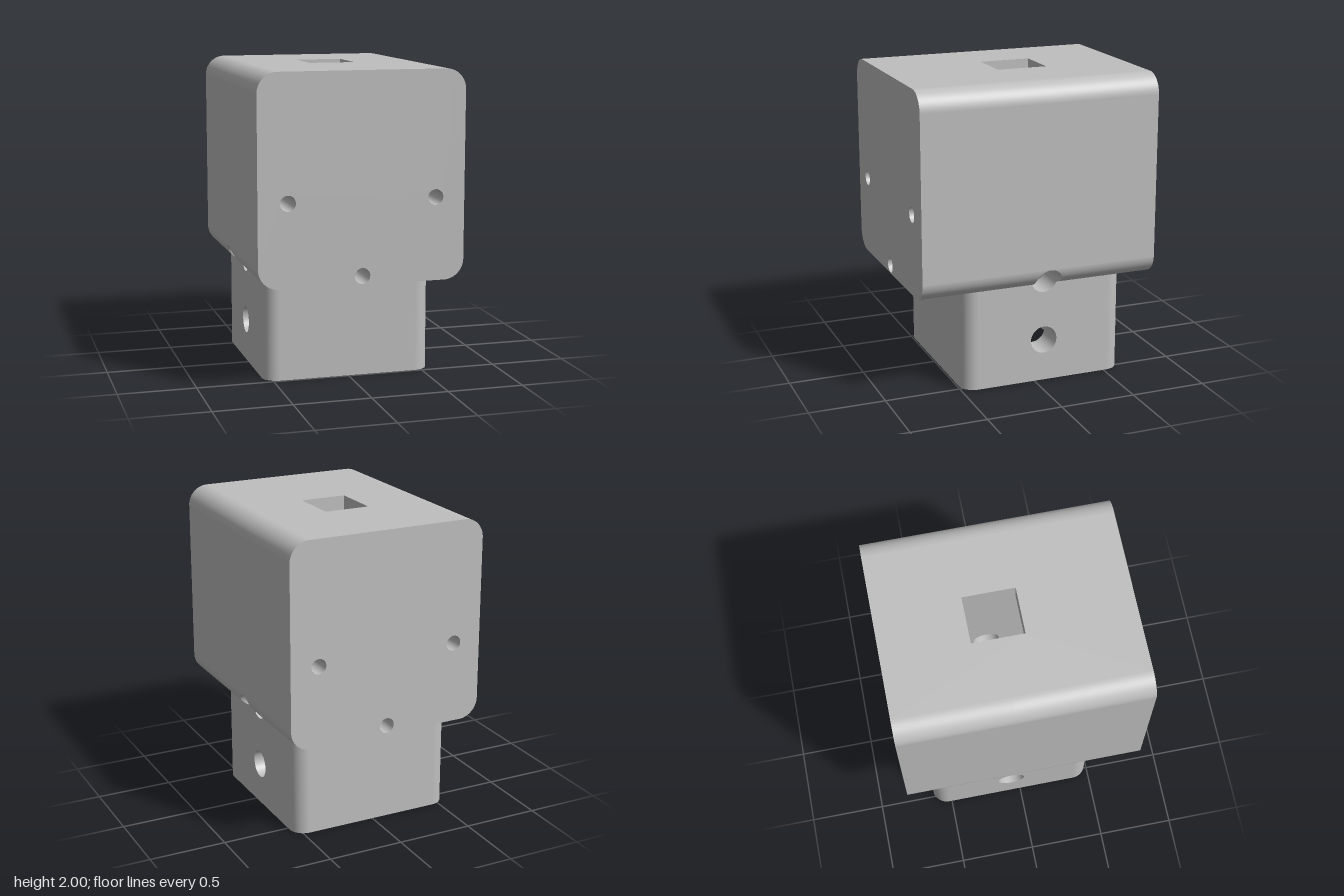
import * as THREE from 'three';

const grey = new THREE.MeshStandardMaterial({ color: 0xbfbfbf, side: THREE.DoubleSide });
grey.name = 'grey';

const ZC = -0.065;                                   // stem and cavity centre in z
const BX = 0.665, BZ = 0.795, B0 = 0.67, B1 = 2, BR = 0.13;  // block
const SX = 0.555, SR = 0.1, STOP = 0.6715;           // stem
const CX = 0.355, CTOP = 1.88;                       // cavity
const PIN = 0.09, PINLOW = 0.28, PINHIGH = 0.7;      // cross bores
const SCREW = 0.05;                                  // screw bores
const screws = [[-0.475, 1.2], [0.475, 1.2], [0, 0.725]];

// Smooth skin between two rows of points
function strip(a, b) {
  const index = [];
  for (let i = 0; i < a.length - 1; i++) {
    const n = a.length;
    index.push(i, i + 1, n + i, i + 1, n + i + 1, n + i);
  }
  const g = new THREE.BufferGeometry();
  g.setAttribute('position', new THREE.Float32BufferAttribute([...a, ...b].flat(), 3));
  g.setIndex(index);
  g.computeVertexNormals();
  return g;
}

// Flat outlines
function roundedRect(x0, y0, x1, y1, r) {
  const s = new THREE.Shape();
  s.absarc(x1 - r, y0 + r, r, -Math.PI / 2, 0);
  s.absarc(x1 - r, y1 - r, r, 0, Math.PI / 2);
  s.absarc(x0 + r, y1 - r, r, Math.PI / 2, Math.PI);
  s.absarc(x0 + r, y0 + r, r, Math.PI, Math.PI * 1.5);
  return s;
}
const rect = (x0, y0, x1, y1) => new THREE.Shape(
  [[x0, y0], [x1, y0], [x1, y1], [x0, y1]].map(p => new THREE.Vector2(...p)));
const circle = (x, y, r) => new THREE.Path().absarc(x, y, r, 0, Math.PI * 2);

// Flat sheets facing z, x and y
function sheet(shape, holes = []) {
  shape.holes.push(...holes);
  return new THREE.ShapeGeometry(shape, 20);
}
const atZ = (z, s, h) => sheet(s, h).translate(0, 0, z);
const atX = (x, s, h) => sheet(s, h).rotateY(-Math.PI / 2).translate(x, 0, 0);
const atY = (y, s, h) => sheet(s, h).rotateX(Math.PI / 2).translate(0, y, 0);

const steps = (n, f) => Array.from({ length: n + 1 }, (_, i) => f(i / n));

// Outer x of the solid at height y, following the block's lower edge
const outerX = y => y < B0 ? SX
  : Math.max(SX, BX - BR + Math.sqrt(Math.max(0, BR ** 2 - (B0 + BR - y) ** 2)));

export function createModel() {
  const model = new THREE.Group();
  const part = name => {
    const g = new THREE.Group();
    g.name = name;
    model.add(g);
    return (geo, meshName) => {
      const m = new THREE.Mesh(geo, grey);
      m.name = meshName;
      g.add(m);
    };
  };
  const block = part('block'), stem = part('stem'), cavity = part('cavity'), bores = part('bores');
  const topHole = () => rect(-0.152, -0.24, 0.152, 0.095);

  // Block end faces, top with square opening, underside around the stem
  for (const z of [-BZ, BZ]) {
    block(atZ(z, roundedRect(-BX, B0, BX, B1, BR), screws.map(([x, y]) => circle(x, y, SCREW))), 'endFace');
  }
  block(atY(B1, rect(-BX + BR, -BZ, BX - BR, BZ), [topHole()]), 'topFace');
  block(atY(B0, rect(-BX + BR, 0.355, BX - BR, BZ)), 'undersideFront');
  block(atY(B0, rect(-BX + BR, -BZ, BX - BR, -0.485)), 'undersideBack');

  // Block sides with rounded edges, notched where the upper cross bore leaves
  const lowYs = [
    ...steps(20, t => B0 + BR - BR * Math.cos(t * Math.PI / 2)),
    ...steps(20, t => PINHIGH + PIN * Math.sin(-0.3 + t * (Math.PI / 2 + 0.3))),
  ].sort((a, b) => a - b);
  const profile = [
    ...lowYs.map(y => [BX - BR + Math.sqrt(Math.max(0, BR ** 2 - (B0 + BR - y) ** 2)), y]),
    ...steps(14, t => [BX - BR + BR * Math.cos(t * Math.PI / 2), B1 - BR + BR * Math.sin(t * Math.PI / 2)]),
  ];
  const notch = y => Math.sqrt(Math.max(0, PIN ** 2 - (y - PINHIGH) ** 2));
  for (const side of [-1, 1]) {
    for (const end of [-1, 1]) {
      block(strip(
        profile.map(([x, y]) => [side * x, y, end * BZ]),
        profile.map(([x, y]) => [side * x, y, ZC + end * notch(y)])), 'side');
    }
  }

  // Stem bottom rim
  stem(atY(0, roundedRect(-SX, ZC - SX, SX, ZC + SX, SR), [rect(-CX, ZC - CX, CX, ZC + CX)]), 'bottomRim');

  // Stem front and back with rounded corners
  for (const end of [-1, 1]) {
    const quarter = steps(12, t => [SX - SR + SR * Math.cos(t * Math.PI / 2),
      ZC + end * (SX - SR + SR * Math.sin(t * Math.PI / 2))]);
    const path = [...quarter, ...quarter.map(([x, z]) => [-x, z]).reverse()];
    stem(strip(path.map(([x, z]) => [x, 0, z]), path.map(([x, z]) => [x, STOP, z])), 'endWall');
  }

  // Stem sides with a round hole and a half-round notch at the top
  const a = Math.asin((STOP - PINHIGH) / PIN), flat = SX - SR;
  for (const side of [-1, 1]) {
    const s = new THREE.Shape();
    s.moveTo(ZC - flat, 0);
    s.lineTo(ZC + flat, 0);
    s.lineTo(ZC + flat, STOP);
    s.absarc(ZC, PINHIGH, PIN, a, -Math.PI - a, true);
    s.lineTo(ZC - flat, STOP);
    stem(atX(side * SX, s, [circle(ZC, PINLOW, PIN)]), 'sideWall');
  }

  // Square cavity walls, ceiling and top opening
  for (const side of [-1, 1]) {
    cavity(atX(side * CX, rect(ZC - CX, 0, ZC + CX, CTOP),
      [circle(ZC, PINLOW, PIN), circle(ZC, PINHIGH, PIN)]), 'cavitySide');
    cavity(atZ(ZC + side * CX, rect(-CX, 0, CX, CTOP), [circle(0, 0.725, SCREW)]), 'cavityEnd');
    cavity(atX(side * 0.152, rect(-0.24, CTOP, 0.095, B1)), 'openingSide');
  }
  for (const z of [-0.24, 0.095]) cavity(atZ(z, rect(-0.152, CTOP, 0.152, B1)), 'openingEnd');
  cavity(atY(CTOP, rect(-CX, ZC - CX, CX, ZC + CX), [topHole()]), 'ceiling');

  // Cross bores through both side walls
  for (const side of [-1, 1]) {
    for (const yc of [PINLOW, PINHIGH]) {
      const ring = steps(64, t => [yc + PIN * Math.sin(t * Math.PI * 2), ZC + PIN * Math.cos(t * Math.PI * 2)]);
      bores(strip(ring.map(([y, z]) => [side * CX, y, z]),
        ring.map(([y, z]) => [side * outerX(y), y, z])), 'crossBore');
    }
  }

  // Screw bores from front to back, the middle one interrupted by the cavity
  for (const [x, y] of screws) {
    const spans = x ? [[-BZ, BZ]] : [[-BZ, ZC - CX], [ZC + CX, BZ]];
    const ring = steps(32, t => [x + SCREW * Math.cos(t * Math.PI * 2), y + SCREW * Math.sin(t * Math.PI * 2)]);
    for (const [z0, z1] of spans) {
      bores(strip(ring.map(p => [...p, z0]), ring.map(p => [...p, z1])), 'screwBore');
    }
  }
  return model;
}
